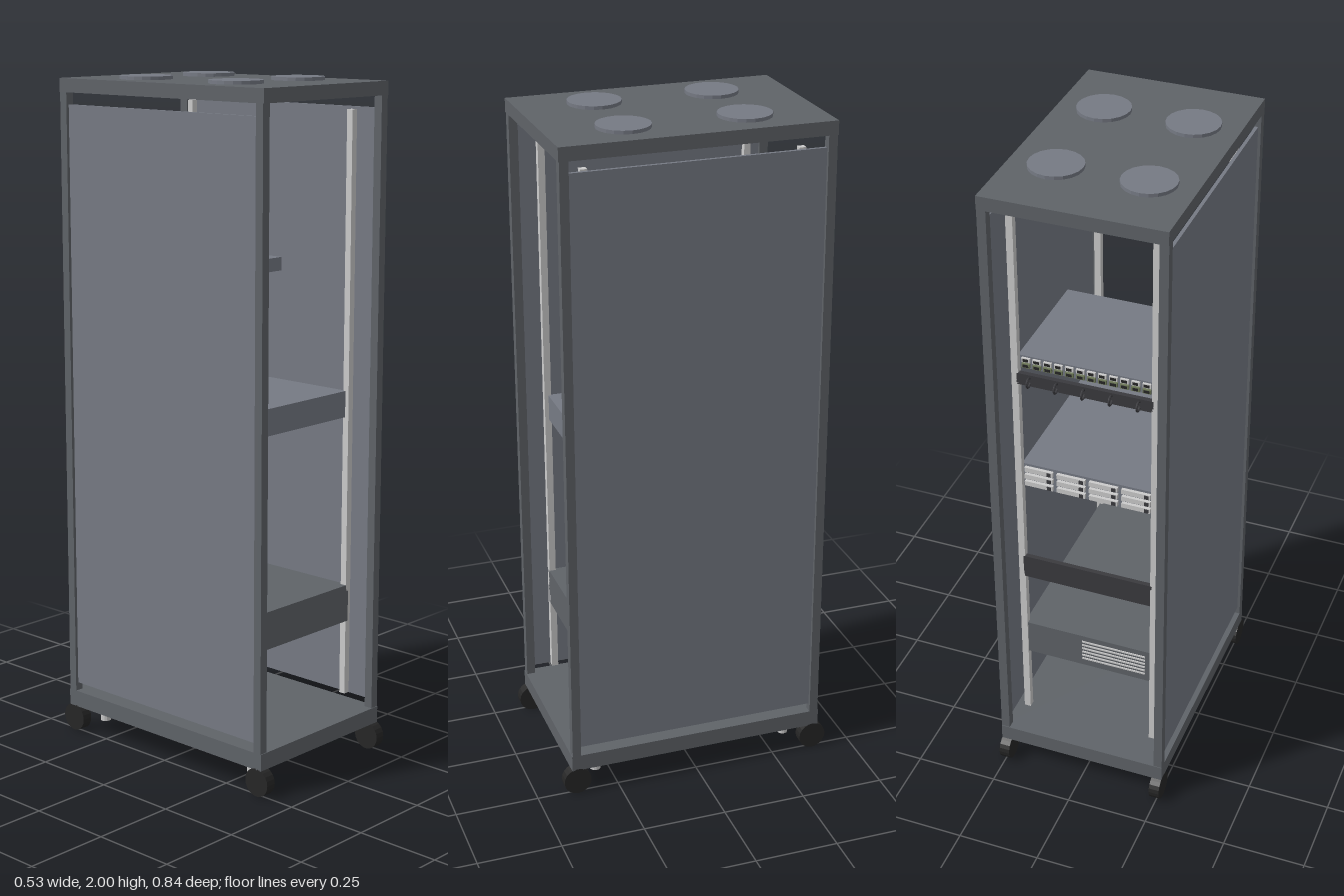
import * as THREE from 'three';

const mat = (color) => new THREE.MeshStandardMaterial({ color, flatShading: true });

export function createModel() {
  const root = new THREE.Group();
  root.name = 'serverRack';
  const frame = mat(0x5f6368), panel = mat(0x767a84), dark = mat(0x3a3a3e);
  const black = mat(0x262626), metal = mat(0xcccccc), green = mat(0x6f7a5a);

  const add = (name, geo, m, x, y, z, parent = root) => {
    const mesh = new THREE.Mesh(geo, m);
    mesh.name = name;
    mesh.position.set(x, y, z);
    parent.add(mesh);
    return mesh;
  };
  // box given by its limits on each axis
  const box = (name, m, x0, x1, y0, y1, z0, z1, parent) =>
    add(name, new THREE.BoxGeometry(x1 - x0, y1 - y0, z1 - z0), m,
      (x0 + x1) / 2, (y0 + y1) / 2, (z0 + z1) / 2, parent);
  const group = (name) => {
    const g = new THREE.Group();
    g.name = name;
    root.add(g);
    return g;
  };

  // cabinet slabs
  box('basePlate', frame, -0.263, 0.263, 0.08, 0.13, -0.395, 0.395);
  box('topPlate', frame, -0.263, 0.263, 1.95, 1.99, -0.395, 0.395);

  for (const sx of [-1, 1]) {
    // side panel, open slits above and below
    add('sidePanel', new THREE.BoxGeometry(0.01, 1.76, 0.732), panel, sx * 0.25, 1.035, 0);

    for (const sz of [-1, 1]) {
      add('cornerPost', new THREE.BoxGeometry(0.026, 1.82, 0.026), frame, sx * 0.25, 1.04, sz * 0.38);
      add('mountingRail', new THREE.BoxGeometry(0.02, 1.74, 0.02), metal, sx * 0.205, 1.04, sz * 0.312);
      add('fanCover', new THREE.CylinderGeometry(0.077, 0.077, 0.012, 20), panel, sx * 0.13, 1.994, sz * 0.174);

      // caster wheel and levelling foot
      const wheel = new THREE.CylinderGeometry(0.042, 0.042, 0.032, 20).rotateZ(Math.PI / 2);
      add('casterWheel', wheel, black, sx * 0.247, 0.042, sz * 0.378);
      add('levellingFoot', new THREE.CylinderGeometry(0.016, 0.016, 0.032, 12), metal, sx * 0.198, 0.05, sz * 0.305);
      add('footStem', new THREE.CylinderGeometry(0.007, 0.007, 0.03, 8), metal, sx * 0.198, 0.073, sz * 0.305);
    }
  }

  // battery unit with vent slats
  const battery = group('batteryUnit');
  box('batteryCase', frame, -0.205, 0.205, 0.398, 0.51, -0.318, 0.322, battery);
  for (let i = 0; i < 6; i++) {
    const y = 0.422 + i * 0.013;
    box('ventSlat', metal, -0.18, 0.02, y, y + 0.005, -0.321, -0.317, battery);
  }

  // blank cover panel
  box('blankPanel', dark, -0.2, 0.2, 0.695, 0.77, -0.322, -0.308);

  // storage server with a grid of drive trays
  const server = group('storageServer');
  box('serverCase', panel, -0.2, 0.2, 1.02, 1.098, -0.305, 0.31, server);
  for (let r = 0; r < 3; r++) {
    for (let c = 0; c < 4; c++) {
      const x = -0.147 + c * 0.098, y = 1.035 + r * 0.024;
      add('driveTray', new THREE.BoxGeometry(0.086, 0.015, 0.01), metal, x, y, -0.31, server);
      add('trayLatch', new THREE.BoxGeometry(0.012, 0.011, 0.006), dark, x - 0.032, y, -0.315, server);
    }
  }

  // cable manager with protruding rings
  const manager = group('cableManager');
  box('managerPlate', dark, -0.2, 0.2, 1.38, 1.416, -0.322, -0.308, manager);
  for (let i = -2; i <= 2; i++) {
    const ring = new THREE.TorusGeometry(0.014, 0.003, 6, 14).rotateY(Math.PI / 2);
    add('cableRing', ring, dark, i * 0.08, 1.398, -0.332, manager);
  }

  // network switch with two rows of ports
  const network = group('networkSwitch');
  box('switchCase', panel, -0.2, 0.2, 1.426, 1.466, -0.305, 0.055, network);
  for (let r = 0; r < 2; r++) {
    for (let c = 0; c < 12; c++) {
      const x = -0.176 + c * 0.032, y = 1.437 + r * 0.018;
      add('portFrame', new THREE.BoxGeometry(0.024, 0.013, 0.008), r ? metal : green, x, y, -0.308, network);
      add('portSocket', new THREE.BoxGeometry(0.016, 0.008, 0.002), black, x, y, -0.3125, network);
    }
  }

  return root;
}
